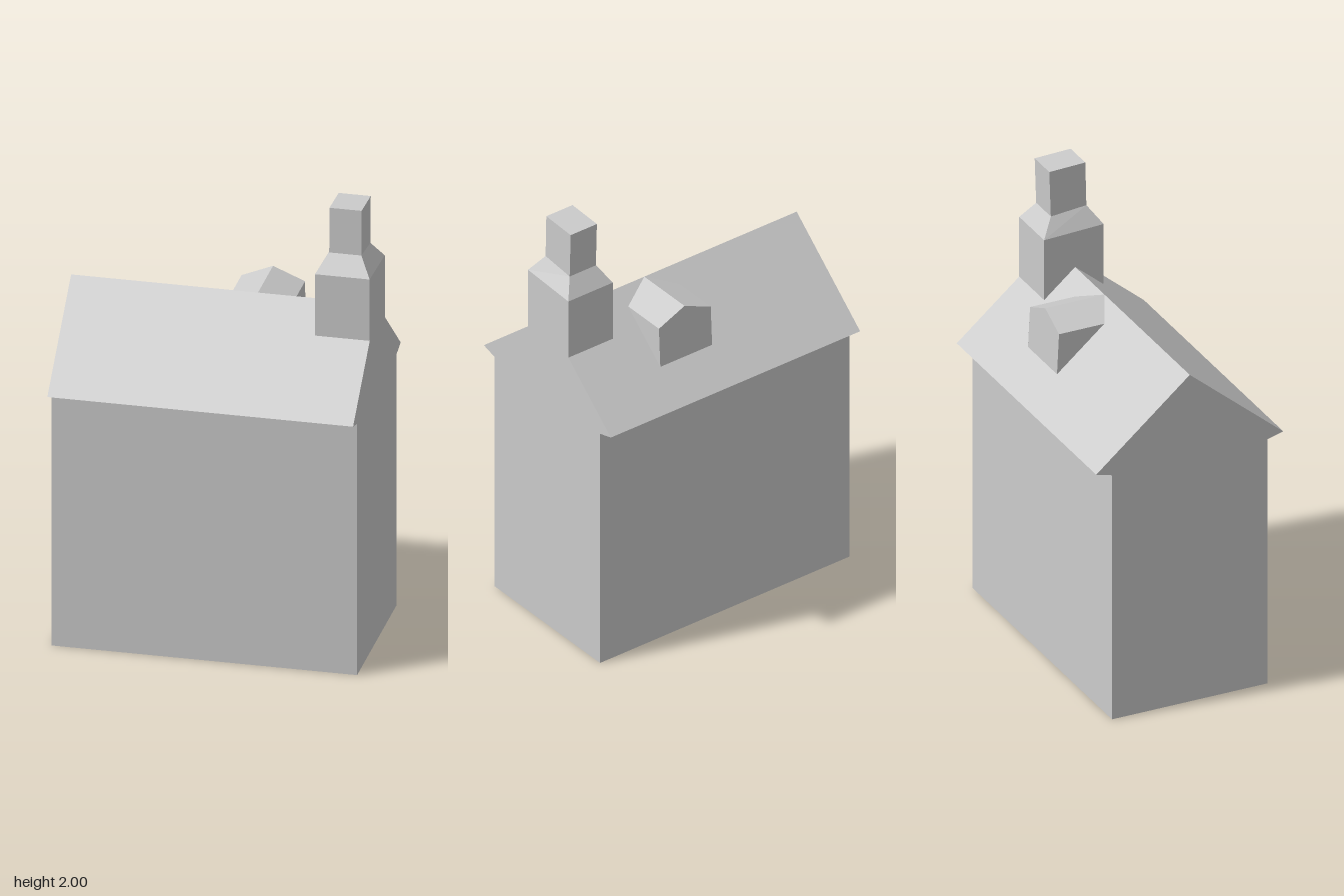
import * as THREE from 'three';

const material = new THREE.MeshStandardMaterial({ color: 0xcccccc, flatShading: true });
const HALF_LENGTH = 0.657, RIDGE = 1.545, EAVE = 1.175, EAVE_Z = 0.437;
const SLOPE = (RIDGE - EAVE) / EAVE_Z;

function mesh(name, geometry) {
  const m = new THREE.Mesh(geometry, material);
  m.name = name;
  return m;
}

function extrude(points, depth) {
  const shape = new THREE.Shape(points.map(([x, y]) => new THREE.Vector2(x, y)));
  return new THREE.ExtrudeGeometry(shape, { depth, bevelEnabled: false });
}

// Joins four-sided rings, listed bottom to top, into a closed solid
function loft(rings) {
  const pos = [];
  const quad = (a, b, c, d) => pos.push(...a, ...b, ...c, ...a, ...c, ...d);
  for (let k = 0; k < rings.length - 1; k++) {
    for (let i = 0; i < 4; i++) {
      const j = (i + 1) % 4;
      quad(rings[k][i], rings[k][j], rings[k + 1][j], rings[k + 1][i]);
    }
  }
  quad(...rings[rings.length - 1]);
  quad(...[...rings[0]].reverse());
  const geometry = new THREE.BufferGeometry();
  geometry.setAttribute('position', new THREE.Float32BufferAttribute(pos, 3));
  geometry.computeVertexNormals();
  return geometry;
}

// Rectangular ring whose front and back edges may differ in height
const ring = (x0, x1, zFront, zBack, yFront, yBack) => [
  [x0, yFront, zFront], [x1, yFront, zFront], [x1, yBack, zBack], [x0, yBack, zBack],
];

export function createModel() {
  const model = new THREE.Group();
  model.name = 'house';

  // Walls and gabled roof share one profile, run along x
  const body = extrude([
    [-0.363, 0], [0.363, 0], [0.363, 1.155], [EAVE_Z, EAVE],
    [0, RIDGE], [-EAVE_Z, EAVE], [-0.363, 1.155],
  ], 2 * HALF_LENGTH);
  body.translate(0, 0, -HALF_LENGTH).rotateY(Math.PI / 2);
  model.add(mesh('wallsAndRoof', body));

  // Chimney: wide base, sloped shoulder, narrow stack
  model.add(mesh('chimney', loft([
    ring(0.422, HALF_LENGTH, 0.133, -0.145, 1.435, 1.422),
    ring(0.422, HALF_LENGTH, 0.133, -0.145, 1.717, 1.705),
    ring(0.47, 0.608, 0.076, -0.09, 1.797, 1.782),
    ring(0.47, 0.608, 0.071, -0.097, 2, 1.994),
  ])));

  // Dormer on the back slope: a gabled prism cut off along the roof plane
  const dormer = extrude([
    [0.01, 1.3], [0.283, 1.3], [0.283, 1.487], [0.146, RIDGE], [0.01, 1.487],
  ], 1);
  const p = dormer.attributes.position;
  for (let i = 0; i < p.count; i++) {
    const drop = RIDGE - p.getY(i);
    p.setZ(i, p.getZ(i) > 0.5 ? -drop / SLOPE : -0.277 - 0.05 * drop);
  }
  dormer.computeVertexNormals();
  model.add(mesh('dormer', dormer));

  return model;
}
